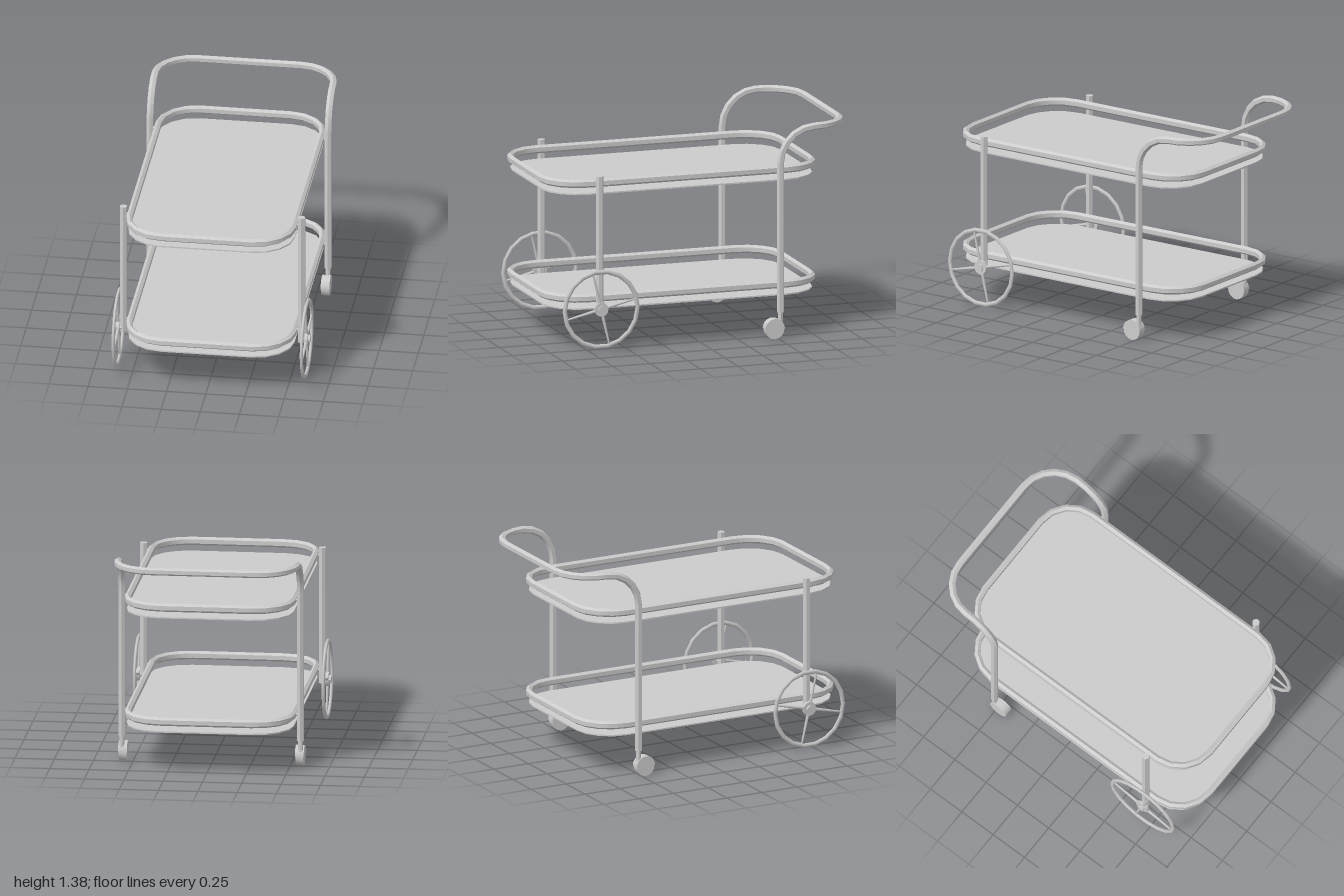
import * as THREE from 'three';
import { toCreasedNormals } from 'three/addons/utils/BufferGeometryUtils.js';

const material = new THREE.MeshStandardMaterial({ color: 0xcccccc, side: THREE.DoubleSide });

// Path that keeps its corner points exactly
class Polyline extends THREE.Curve {
  constructor(points, closed) {
    super();
    this.points = points;
    this.closed = closed;
    this.count = closed ? points.length : points.length - 1;
  }
  at(i) {
    const n = this.points.length;
    return this.closed ? this.points[(i + n) % n] : this.points[Math.min(Math.max(i, 0), n - 1)];
  }
  getPointAt(u, target = new THREE.Vector3()) {
    return target.copy(this.at(Math.round(u * this.count)));
  }
  getTangentAt(u, target = new THREE.Vector3()) {
    const i = Math.round(u * this.count);
    return target.copy(this.at(i + 1)).sub(this.at(i - 1)).normalize();
  }
}

// Six-sided bar swept along points; squash narrows it horizontally
function hexBar(points, radius, closed = false, squash = 1) {
  const path = new Polyline(points, closed);
  const geometry = new THREE.TubeGeometry(path, path.count, radius, 6, closed);
  if (squash !== 1) {
    const pos = geometry.attributes.position;
    for (let i = 0; i < pos.count; i++) {
      const c = path.at(Math.floor(i / 7));
      pos.setX(i, c.x + (pos.getX(i) - c.x) * squash);
      pos.setZ(i, c.z + (pos.getZ(i) - c.z) * squash);
    }
  }
  return toCreasedNormals(geometry, 0.7);
}

function add(parent, name, geometry, x = 0, y = 0, z = 0) {
  const mesh = new THREE.Mesh(geometry, material);
  mesh.name = name;
  mesh.position.set(x, y, z);
  parent.add(mesh);
  return mesh;
}

const cylinder = (r, h, sides) => toCreasedNormals(new THREE.CylinderGeometry(r, r, h, sides), 0.7);
const cylinderX = (r, h, sides) => cylinder(r, h, sides).rotateZ(Math.PI / 2);

// Rounded rectangle outline; the first step runs along a long side
function roundedOutline(halfX, halfZ, radius, steps = 4) {
  const points = [];
  const corners = [[1, 1], [-1, 1], [-1, -1], [1, -1]];
  // extra point midway on the side gives a clean starting direction
  points.push(new THREE.Vector3(halfX, 0, 0));
  corners.forEach(([sx, sz], k) => {
    for (let i = 0; i <= steps; i++) {
      const a = (k + i / steps) * Math.PI / 2;
      points.push(new THREE.Vector3(
        sx * (halfX - radius) + radius * Math.cos(a), 0,
        sz * (halfZ - radius) + radius * Math.sin(a)));
    }
  });
  return points;
}

// Shelf: rail loop with a thin sheet hanging just below it
function makeShelf(y) {
  const shelf = new THREE.Group();
  shelf.name = 'shelf';
  add(shelf, 'shelfRail', hexBar(roundedOutline(0.522, 0.897, 0.235), 0.027, true, 0.8));
  const outline = roundedOutline(0.53, 0.895, 0.24).map((p) => new THREE.Vector2(p.x, p.z));
  const sheet = new THREE.ExtrudeGeometry(new THREE.Shape(outline), { depth: 0.009, bevelEnabled: false });
  sheet.rotateX(Math.PI / 2);
  add(shelf, 'shelfSheet', sheet, 0, -0.063, 0);
  shelf.position.set(0, y, 0.085);
  return shelf;
}

// Rear legs and push handle as one bent bar
function makeHandle() {
  const half = [new THREE.Vector3(0.568, 0.17, -0.517)];
  const bend = 0.225, steps = 5;
  for (let i = 0; i <= steps; i++) {
    const a = i / steps * Math.PI / 2;
    half.push(new THREE.Vector3(0.568, 1.13 + bend * Math.sin(a), -0.517 - bend * (1 - Math.cos(a))));
  }
  for (let i = 1; i <= steps; i++) {
    const a = i / steps * Math.PI / 2;
    half.push(new THREE.Vector3(0.328 + 0.24 * Math.cos(a), 1.355, -0.742 - 0.238 * Math.sin(a)));
  }
  const mirrored = half.map((p) => new THREE.Vector3(-p.x, p.y, p.z)).reverse();
  return hexBar([...half, ...mirrored], 0.024);
}

// Large spoked wheel, axle along x
function makeWheel(side) {
  const wheel = new THREE.Group();
  wheel.name = 'frontWheel';
  add(wheel, 'wheelRim', new THREE.TorusGeometry(0.243, 0.0145, 6, 18).rotateY(Math.PI / 2).scale(0.75, 1, 1));
  add(wheel, 'wheelHub', cylinderX(0.046, 0.02, 12));
  add(wheel, 'wheelAxle', cylinderX(0.022, 0.06, 8), side * -0.005);
  add(wheel, 'axleCap', cylinderX(0.026, 0.012, 8), side * 0.018);
  for (let i = 0; i < 4; i++) {
    const spoke = new THREE.CylinderGeometry(0.006, 0.011, 0.22, 6).translate(0, 0.13, 0);
    add(wheel, 'wheelSpoke', spoke).rotation.x = 0.23 + i * Math.PI / 2;
  }
  wheel.position.set(side * 0.6, 0.28, 0.69);
  return wheel;
}

// Small rear caster with a hood over the wheel
function makeCaster(side) {
  const caster = new THREE.Group();
  caster.name = 'rearCaster';
  add(caster, 'casterStem', cylinder(0.016, 0.1, 8), side * 0.568, 0.125, -0.517);
  add(caster, 'legEnd', cylinder(0.024, 0.006, 6), side * 0.568, 0.172, -0.517);
  add(caster, 'casterWheel', cylinderX(0.062, 0.05, 16), side * 0.562, 0.062, -0.475);
  const hood = new THREE.CylinderGeometry(0.065, 0.065, 0.056, 10, 1, false, 0, Math.PI);
  hood.rotateZ(Math.PI / 2);
  add(caster, 'casterHood', hood, side * 0.562, 0.066, -0.475);
  return caster;
}

export function createModel() {
  const model = new THREE.Group();
  model.name = 'servingTrolley';
  for (const y of [1.082, 0.34]) model.add(makeShelf(y));
  add(model, 'rearLegsAndHandle', makeHandle());
  for (const side of [1, -1]) {
    add(model, 'frontLeg', cylinder(0.025, 0.88, 6), side * 0.568, 0.695, 0.69);
    model.add(makeWheel(side), makeCaster(side));
    // short brackets joining rails to legs
    for (const y of [1.082, 0.34]) {
      for (const z of [0.69, -0.517]) add(model, 'railBracket', cylinderX(0.012, 0.04, 6), side * 0.545, y, z);
    }
  }
  return model;
}
